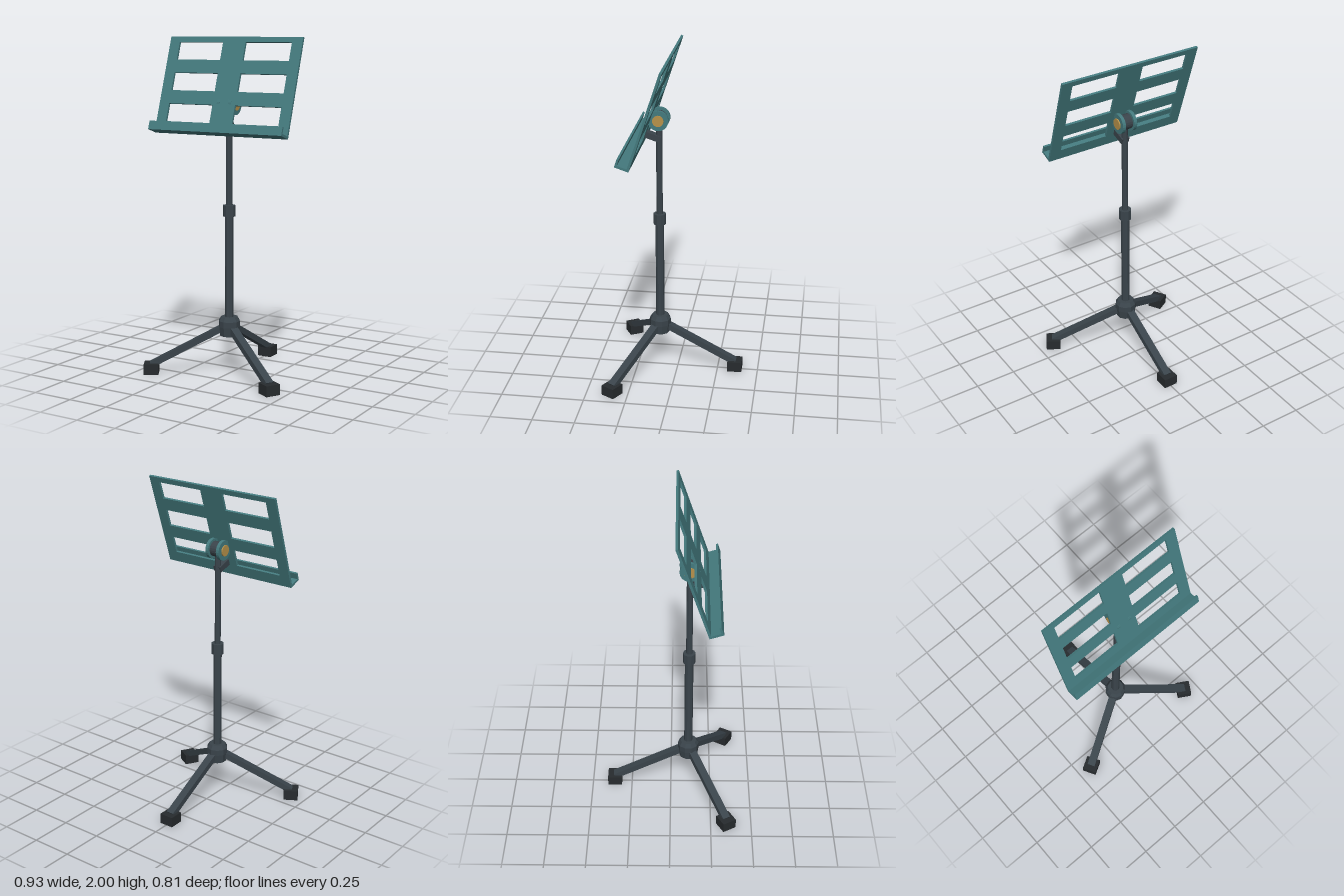
import * as THREE from 'three';

const mat = (color) => new THREE.MeshStandardMaterial({ color, flatShading: true });

export function createModel() {
  const model = new THREE.Group();
  model.name = 'musicStand';
  const teal = mat(0x447a7e), steel = mat(0x3a444b), rubber = mat(0x272b2e), brass = mat(0xb8924a);
  const poleZ = 0.11;

  const add = (parent, name, geometry, material, x = 0, y = 0, z = 0) => {
    const mesh = new THREE.Mesh(geometry, material);
    mesh.name = name;
    mesh.position.set(x, y, z);
    parent.add(mesh);
    return mesh;
  };
  const box = (w, h, d) => new THREE.BoxGeometry(w, h, d);
  const rod = (r, h, sides) => new THREE.CylinderGeometry(r, r, h, sides);

  // Telescoping column
  const column = new THREE.Group();
  column.name = 'column';
  column.position.z = poleZ;
  model.add(column);
  add(column, 'lowerTube', rod(0.026, 0.7, 10), steel, 0, 0.63);
  add(column, 'upperTube', rod(0.019, 0.62, 10), steel, 0, 1.3);
  add(column, 'heightCollar', rod(0.038, 0.066, 10), steel, 0, 0.988);
  const hubProfile = [[0, 0.235], [0.058, 0.235], [0.065, 0.29], [0.065, 0.325], [0.05, 0.35], [0, 0.35]]
    .map(([r, y]) => new THREE.Vector2(r, y));
  add(column, 'hub', new THREE.LatheGeometry(hubProfile, 10), steel);

  // Three legs with block feet; the first points straight back
  const rIn = 0.03, yIn = 0.287, rOut = 0.468, yOut = 0.054;
  const legLength = Math.hypot(rOut - rIn, yIn - yOut);
  for (let i = 0; i < 3; i++) {
    const leg = new THREE.Group();
    leg.name = 'leg' + (i + 1);
    leg.rotation.y = Math.PI + (i * Math.PI * 2) / 3;
    column.add(leg);
    const bar = add(leg, 'legBar', box(0.048, 0.036, legLength), steel, 0, (yIn + yOut) / 2, (rIn + rOut) / 2);
    bar.rotation.x = Math.atan2(yIn - yOut, rOut - rIn);
    add(leg, 'foot', box(0.088, 0.063, 0.088), rubber, 0, 0.0315, 0.468);
  }

  // Tilted desk with six windows
  const desk = new THREE.Group();
  desk.name = 'desk';
  desk.position.set(0, 1.44, 0.228);
  desk.rotation.x = -0.322;
  model.add(desk);
  const rect = (path, x0, y0, x1, y1) => {
    path.moveTo(x0, y0).lineTo(x1, y0).lineTo(x1, y1).lineTo(x0, y1).closePath();
    return path;
  };
  const W = 0.446, H = 0.59, T = 0.014;
  const panel = rect(new THREE.Shape(), -W, 0, W, H);
  for (const y of [0.07, 0.26, 0.449]) {
    panel.holes.push(rect(new THREE.Path(), -0.379, y, -0.076, y + 0.109));
    panel.holes.push(rect(new THREE.Path(), 0.076, y, 0.379, y + 0.109));
  }
  add(desk, 'panel', new THREE.ExtrudeGeometry(panel, { depth: T, bevelEnabled: false }), teal, 0, 0, -T);

  // Ledge and its upturned lip
  add(desk, 'ledge', box(W * 2, T, 0.07), teal, 0, T / 2, 0.035);
  add(desk, 'ledgeLip', box(W * 2, 0.052, 0.012), teal, 0, 0.026, 0.064);

  // Bracket joining the column to the desk
  const bracket = add(model, 'bracket', box(0.05, 0.036, 0.1), steel, 0, 1.505, 0.15);
  bracket.rotation.x = desk.rotation.x;

  // Tilt joint: barrel, side discs and end caps along x
  const joint = new THREE.Group();
  joint.name = 'tiltJoint';
  joint.position.set(0, 1.61, poleZ);
  joint.rotation.z = Math.PI / 2;
  model.add(joint);
  add(joint, 'barrel', rod(0.045, 0.07, 20), steel);
  for (const s of [-1, 1]) {
    add(joint, 'jointDisc', rod(0.06, 0.02, 24), teal, 0, s * 0.038);
    add(joint, 'jointCap', rod(0.033, 0.014, 20), brass, 0, s * 0.048);
  }
  return model;
}
